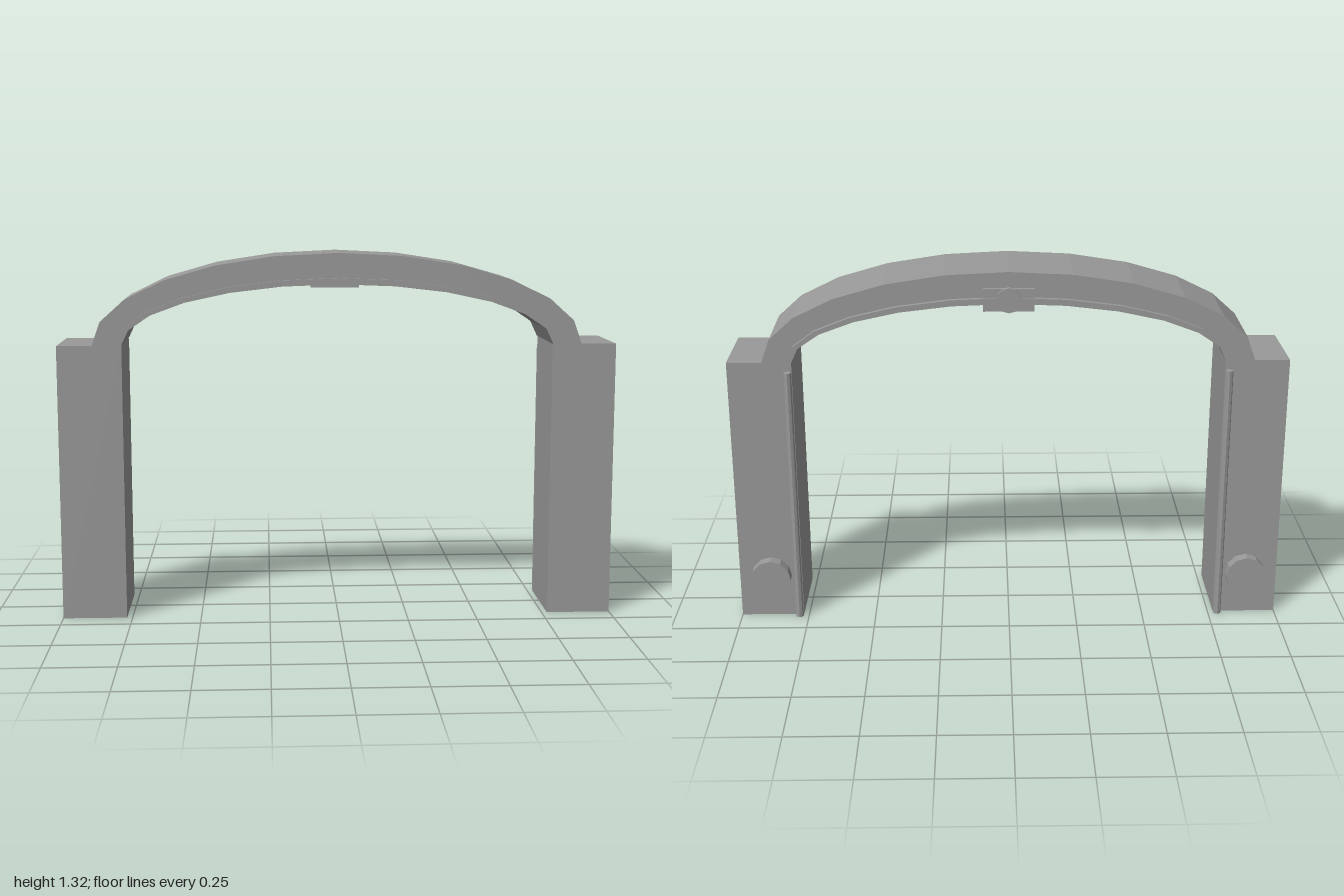
import * as THREE from 'three';

const SPRING = 0.993; // height where the arch meets the pillars
const BACK = -0.14, FRONT = 0.165;

// Half-elliptical band with flat facets, extruded along z
function archBand(outerX, outerY, innerX, innerY, zBack, zFront) {
  const steps = 12;
  const arc = (rx, ry) => Array.from({ length: steps + 1 }, (_, i) => {
    const a = (i / steps) * Math.PI;
    return new THREE.Vector2(rx * Math.cos(a), SPRING + ry * Math.sin(a));
  });
  const shape = new THREE.Shape([...arc(outerX, outerY), ...arc(innerX, innerY).reverse()]);
  const geometry = new THREE.ExtrudeGeometry(shape, { depth: zFront - zBack, bevelEnabled: false });
  return geometry.translate(0, 0, zBack);
}

// Box given by its minimum and maximum corners
function boxBetween(x0, x1, y0, y1, z0, z1) {
  return new THREE.BoxGeometry(x1 - x0, y1 - y0, z1 - z0)
    .translate((x0 + x1) / 2, (y0 + y1) / 2, (z0 + z1) / 2);
}

// Round disc facing the back
function disc(x, y, radius, z0, z1, sides) {
  return new THREE.CylinderGeometry(radius, radius, z1 - z0, sides)
    .rotateX(Math.PI / 2).translate(x, y, (z0 + z1) / 2);
}

export function createModel() {
  const group = new THREE.Group();
  const grey = new THREE.MeshStandardMaterial({ color: 0x999999, flatShading: true });
  grey.name = 'grey';

  const add = (name, geometry) => {
    const mesh = new THREE.Mesh(geometry, grey);
    mesh.name = name;
    group.add(mesh);
  };

  // Pillars with a trim rod on the inner back edge and a round knob near the foot
  for (const [side, s] of [['left', 1], ['right', -1]]) {
    const x = s * 0.885;
    add(side + 'Pillar', boxBetween(x - 0.115, x + 0.115, 0, SPRING, BACK, FRONT));
    add(side + 'TrimRod', new THREE.CylinderGeometry(0.014, 0.014, 0.96, 8)
      .translate(s * 0.784, 0.48, -0.153));
    add(side + 'Knob', disc(s * 0.882, 0.162, 0.074, -0.181, BACK, 12));
  }

  // Arch and the thin lining that stands proud of it front and back
  add('arch', archBand(0.875, 0.326, 0.78, 0.226, BACK, FRONT));
  add('archLining', archBand(0.79, 0.238, 0.77, 0.216, -0.158, 0.181));

  // Crown plate and its boss at the back
  add('crownPlate', boxBetween(-0.09, 0.09, 1.18, 1.262, -0.1, -0.152));
  add('crownBoss', disc(0, 1.222, 0.045, -0.164, -0.145, 12));

  // Give the crown plate a positive depth
  const plate = group.getObjectByName('crownPlate');
  plate.geometry = boxBetween(-0.09, 0.09, 1.18, 1.262, -0.152, -0.1);

  return group;
}
